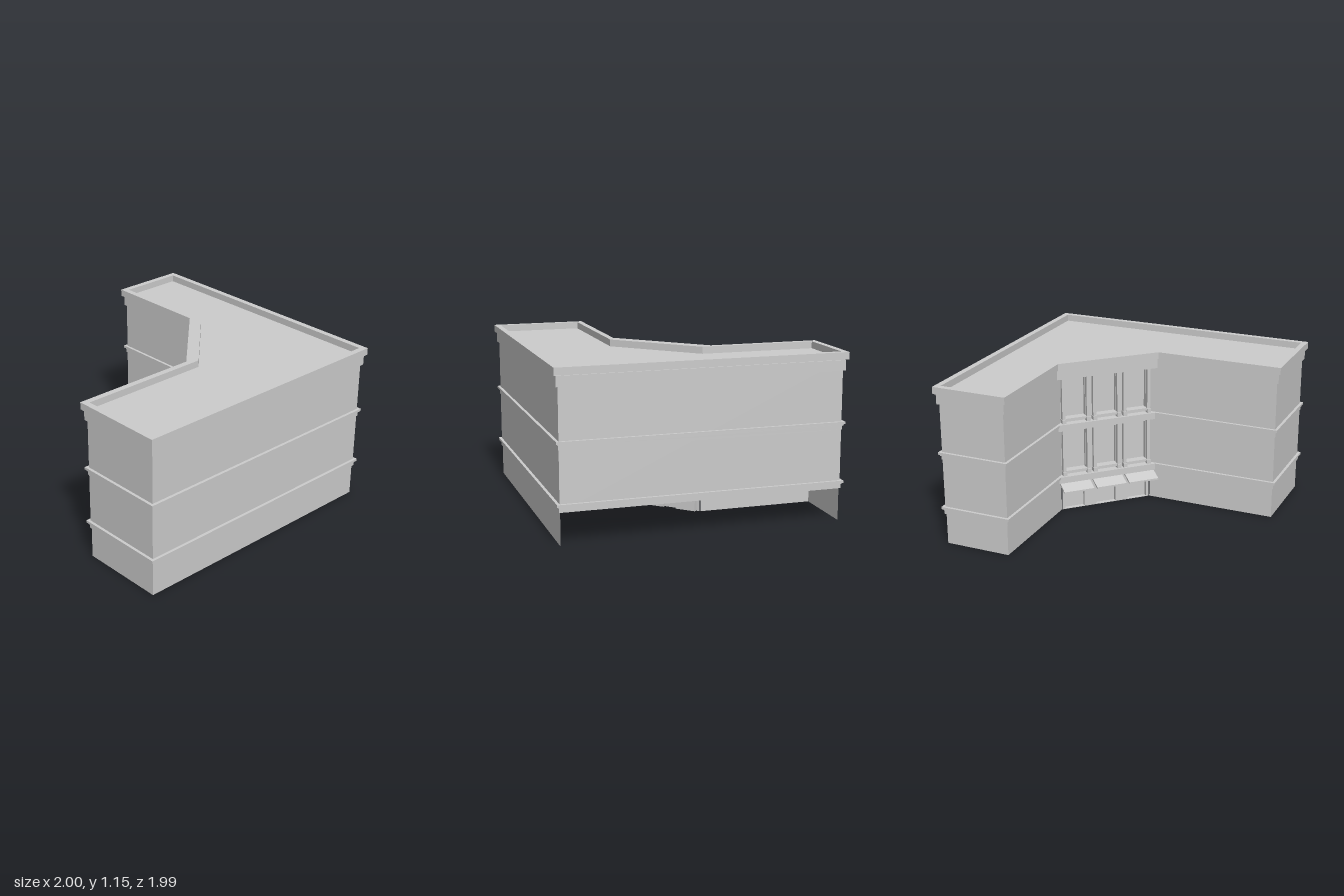
import * as THREE from 'three';

// Wall footprint as [x, z]; edge 1 is the diagonal entrance side, edge 4 is the +x side
const FOOTPRINT = [
  [-0.97, 0.35], [0, 0.35], [0.485, -0.135], [0.485, -0.96],
  [0.97, -0.96], [0.97, 0.97], [-0.97, 0.97],
];
const DIAGONAL = 1;
const OPEN_SIDE = 4;

// Push every footprint edge outward; the diagonal has its own distance
function offsetFootprint(d, dDiagonal = d) {
  const n = FOOTPRINT.length;
  const lines = FOOTPRINT.map(([x, z], i) => {
    const [x2, z2] = FOOTPRINT[(i + 1) % n];
    const len = Math.hypot(x2 - x, z2 - z);
    const nx = (z2 - z) / len, nz = -(x2 - x) / len;
    return [nx, nz, nx * x + nz * z + (i === DIAGONAL ? dDiagonal : d)];
  });
  return lines.map(([a, b, c], i) => {
    const [e, f, g] = lines[(i + n - 1) % n];
    const det = a * f - b * e;
    return [(c * f - b * g) / det, (a * g - c * e) / det];
  });
}

const toPoints = (outline) => outline.map(([x, z]) => new THREE.Vector2(x, -z));

function rectangle(x0, x1, y0, y1, Type) {
  return new Type([[x0, y0], [x1, y0], [x1, y1], [x0, y1]].map(([x, y]) => new THREE.Vector2(x, y)));
}

export function createModel() {
  const model = new THREE.Group();
  model.name = 'cornerBuilding';
  const stone = new THREE.MeshStandardMaterial({ color: 0xcccccc, side: THREE.DoubleSide });
  stone.name = 'greyStone';

  const add = (parent, name, geometry, x = 0, y = 0, z = 0) => {
    const mesh = new THREE.Mesh(geometry, stone);
    mesh.name = name;
    mesh.position.set(x, y, z);
    parent.add(mesh);
    return mesh;
  };

  // Hollow wall shell for one storey; the diagonal is built separately
  function storeyWalls(name, d, y0, y1, skipped) {
    const group = new THREE.Group();
    group.name = name;
    const outline = offsetFootprint(d, 0);
    outline.forEach(([x, z], i) => {
      if (skipped.includes(i)) return;
      const [x2, z2] = outline[(i + 1) % outline.length];
      const wall = add(group, 'wall', new THREE.PlaneGeometry(Math.hypot(x2 - x, z2 - z), y1 - y0),
        (x + x2) / 2, (y0 + y1) / 2, (z + z2) / 2);
      wall.rotation.y = Math.atan2(z2 - z, -(x2 - x)) + (Math.abs(z2 - z) < 1e-6 ? Math.PI : 0);
      wall.rotation.y = Math.atan2(z2 - z, -(x2 - x));
    });
    model.add(group);
  }
  storeyWalls('groundFloorWalls', -0.004, 0, 0.225, [DIAGONAL, OPEN_SIDE]);
  storeyWalls('upperFloorWalls', 0, 0.225, 1.105, [DIAGONAL]);

  // Mouldings that run round the whole building
  function ring(name, d, dDiagonal, inner, innerDiagonal, y0, y1) {
    const shape = new THREE.Shape(toPoints(offsetFootprint(d, dDiagonal)));
    shape.holes.push(new THREE.Path(toPoints(offsetFootprint(inner, innerDiagonal))));
    const geometry = new THREE.ExtrudeGeometry(shape, { depth: y1 - y0, bevelEnabled: false });
    add(model, name, geometry.rotateX(-Math.PI / 2), 0, y0, 0);
  }
  for (const y of [0.225, 0.63]) {
    ring('bandCourse', 0.005, 0.04, -0.002, -0.002, y, y + 0.028);
    ring('bandNeck', 0.01, 0.045, -0.002, -0.002, y + 0.028, y + 0.038);
    ring('bandLedge', 0.02, 0.055, -0.002, -0.002, y + 0.038, y + 0.055);
  }
  ring('cornice', 0.014, 0.06, -0.002, -0.002, 1.03, 1.1);
  ring('parapet', 0.03, 0.08, -0.012, -0.003, 1.105, 1.155);

  // Flat roof sunk behind the parapet
  const roof = new THREE.ShapeGeometry(new THREE.Shape(toPoints(offsetFootprint(0.01, 0.03))));
  add(model, 'roof', roof.rotateX(-Math.PI / 2), 0, 1.107, 0);

  // Diagonal entrance facade: local x along the wall, local z outward
  const facade = new THREE.Group();
  facade.name = 'entranceFacade';
  facade.position.set(0.2425, 0, 0.1075);
  facade.rotation.y = -Math.PI * 0.75;
  model.add(facade);

  const halfWidth = 0.343;
  const wallShape = rectangle(-halfWidth, halfWidth, 0, 1.105, THREE.Shape);

  // Opening with a five-sided recess behind it
  function recess(name, x, width, y0, y1) {
    wallShape.holes.push(rectangle(x - width / 2, x + width / 2, y0, y1, THREE.Path));
    const depth = 0.03;
    const box = new THREE.BoxGeometry(width, y1 - y0, depth);
    box.setIndex([...box.index.array].filter((_, i) => i < 24 || i >= 30));
    box.clearGroups();
    add(facade, name, box, x, (y0 + y1) / 2, -depth / 2);
  }

  // Sloping awning profile: x outward, y up
  const awningShape = new THREE.Shape([[0, 0.235], [0.13, 0.193], [0.13, 0.18], [0, 0.222]]
    .map(([x, y]) => new THREE.Vector2(x, y)));

  for (const bay of [-1, 0, 1]) {
    recess('door', bay * 0.245, 0.15, 0.003, 0.19);
    const awning = new THREE.ExtrudeGeometry(awningShape, { depth: 0.23, bevelEnabled: false });
    awning.translate(0, 0, -0.115).rotateY(-Math.PI / 2);
    add(facade, 'awning', awning, bay * 0.2525, 0, 0);

    const x = bay * 0.235;
    for (const [bottom, top] of [[0.28, 0.63], [0.685, 1.03]]) {
      recess('window', x, 0.155, bottom + 0.035, top - 0.02);
      add(facade, 'windowSill', new THREE.BoxGeometry(0.16, 0.018, 0.03), x, bottom + 0.026, 0.015);
      for (const side of [-1, 1]) {
        const cx = x + side * 0.093;
        add(facade, 'column', new THREE.BoxGeometry(0.024, top - bottom, 0.03), cx, (top + bottom) / 2, 0.015);
        add(facade, 'columnBase', new THREE.BoxGeometry(0.03, 0.03, 0.04), cx, bottom + 0.015, 0.02);
      }
    }
  }
  add(facade, 'facadeWall', new THREE.ShapeGeometry(wallShape));

  return model;
}
